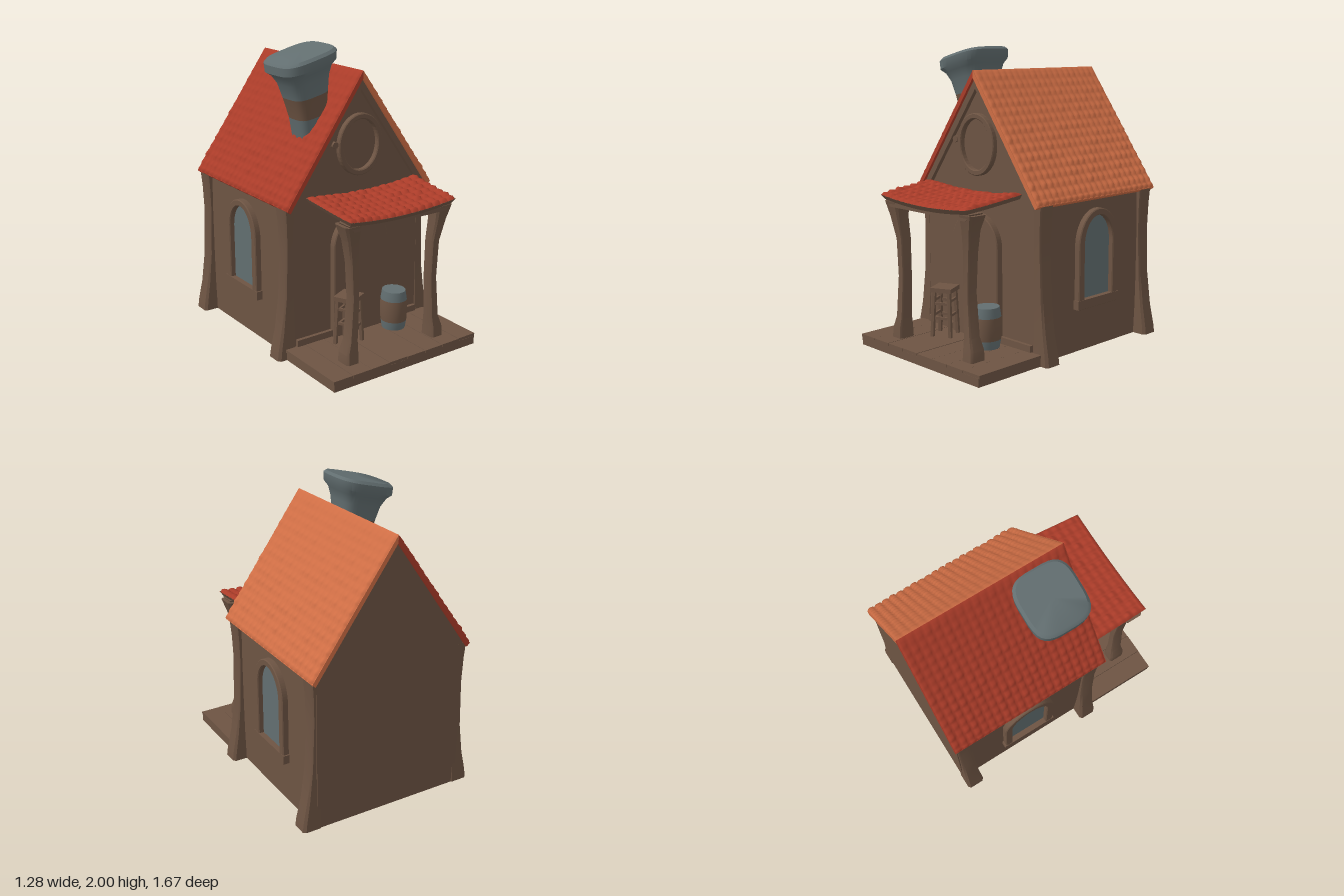
import * as THREE from 'three';
import { toCreasedNormals } from 'three/addons/utils/BufferGeometryUtils.js';

const material = (name, color) => Object.assign(new THREE.MeshStandardMaterial({ color }), { name });
const hash = (i, j) => { const s = Math.sin(i * 12.99 + j * 78.23) * 43758.5; return s - Math.floor(s); };

// Closed skin through superellipse rings [cx, y, cz, halfX, halfZ, tilt]; one group per segment
function loft(rings, sides, power, bands) {
  const pos = [], idx = [], geo = new THREE.BufferGeometry();
  for (const [cx, y, cz, hx, hz, tilt = 0] of rings) {
    for (let k = 0; k < sides; k++) {
      const a = (k + 0.5) / sides * Math.PI * 2, c = Math.cos(a), s = Math.sin(a);
      const dx = hx * Math.sign(c) * Math.abs(c) ** (2 / power);
      const dz = hz * Math.sign(s) * Math.abs(s) ** (2 / power);
      pos.push(cx + dx, y + dx * tilt, cz + dz);
    }
  }
  const last = rings.length - 1, bottom = pos.length / 3, top = bottom + 1;
  pos.push(...rings[0].slice(0, 3), ...rings[last].slice(0, 3));
  for (let r = 0; r < last; r++) {
    const start = idx.length;
    for (let k = 0; k < sides; k++) {
      const b = r * sides + k, b2 = r * sides + (k + 1) % sides, t = b + sides, t2 = b2 + sides;
      idx.push(b2, b, t, b2, t, t2);
      if (r === 0) idx.push(bottom, b, b2);
      if (r === last - 1) idx.push(top, t2, t);
    }
    if (bands) geo.addGroup(start, idx.length - start, bands[r]);
  }
  geo.setAttribute('position', new THREE.Float32BufferAttribute(pos, 3));
  geo.setIndex(idx);
  return toCreasedNormals(geo, 0.7);
}

// Bumpy sheet of overlapping tiles; place(u, v, h) puts a point on the roof
function tileSheet(cols, rows, amp, place) {
  const geo = new THREE.PlaneGeometry(1, 1, cols * 5, rows * 4), p = geo.attributes.position;
  for (let n = 0; n < p.count; n++) {
    const u = p.getX(n) + 0.5, v = p.getY(n) + 0.5;
    const cu = u * cols + 1e-4, cv = v * rows + 1e-4, i = Math.floor(cu), j = Math.floor(cv);
    const edge = u < 1e-4 || u > 0.9999 || v < 1e-4 || v > 0.9999;
    const round = Math.sqrt(Math.abs(Math.sin((cu - i) * Math.PI)));
    const h = edge ? -0.006 : amp(v) * (0.6 + 0.4 * hash(i, j)) * (0.15 + 0.85 * round) * (1 - 0.75 * (cv - j));
    p.setXYZ(n, ...place(u, v, h));
  }
  geo.computeVertexNormals();
  return geo;
}

function arch(half, base, spring, top, Type = THREE.Shape) {
  const s = new Type();
  s.moveTo(-half, base);
  s.lineTo(half, base);
  s.lineTo(half, spring);
  s.absellipse(0, spring, half, top - spring, 0, Math.PI, false);
  s.closePath();
  return s;
}

const extrude = (shape, depth, bevel = 0) => new THREE.ExtrudeGeometry(shape, {
  depth, curveSegments: 20, bevelEnabled: bevel > 0, bevelSize: bevel, bevelThickness: bevel, bevelOffset: -bevel, bevelSegments: 1,
});

const polygon = (pts) => new THREE.Shape(pts.map(([x, y]) => new THREE.Vector2(x, y)));

export function createModel() {
  const model = new THREE.Group();
  model.name = 'cottage';
  const wood = material('brown wood', 0x6d5443);
  const red = material('red tile', 0xab3c29);
  const orange = material('orange tile', 0xcf6e45);
  const grey = material('blue grey', 0x626e70);

  const add = (name, geo, mat, x = 0, y = 0, z = 0, parent = model) => {
    const m = new THREE.Mesh(geo, mat);
    m.name = name;
    m.position.set(x, y, z);
    parent.add(m);
    return m;
  };
  const box = (name, w, h, d, x, y, z, parent) => add(name, new THREE.BoxGeometry(w, h, d), wood, x, y, z, parent);

  // House body with gables
  add('walls', extrude(polygon([[-0.54, 0], [0.54, 0], [0.54, 1.035], [0, 1.815], [-0.54, 1.035]]), 1.1), wood, 0, 0, -0.81);

  for (const s of [1, -1]) {
    const side = s > 0 ? 'left' : 'right';

    // Flared corner posts
    for (const [end, z] of [['Front', 0.24], ['Back', -0.752]]) {
      const rings = [[0, 0.64, 0.066], [0.06, 0.632, 0.064], [0.2, 0.603, 0.056], [0.42, 0.575, 0.052], [0.75, 0.562, 0.052], [0.92, 0.568, 0.056], [1.03, 0.578, 0.06]]
        .map(([y, out, hz]) => [s * (out + 0.5) / 2, y, z, (out - 0.5) / 2 * 1.03, hz]);
      add(side + end + 'CornerPost', loft(rings, 8, 6), wood);
    }

    // Roof slope: slab with tiles on top
    const mat = s > 0 ? orange : red;
    add(side + 'RoofSlab', extrude(polygon([[0, 1.85], [s * 0.583, 1.028], [s * 0.56, 1.008], [0, 1.8]]), 1.17), mat, 0, 0, -0.83);
    add(side + 'RoofTiles', tileSheet(21, 15, (v) => 0.022 - 0.013 * v, (u, v, h) => [
      s * (0.585 * (1 - v) + 0.816 * h * (v < 0.999 ? 1 : 0)),
      1.026 + 0.828 * v + 0.578 * h,
      0.34 - 1.17 * (s > 0 ? u : 1 - u),
    ]), mat);

    // Gable trim boards
    add(side + 'GableTrim', extrude(polygon([[0, 1.8], [s * 0.56, 1.01], [s * 0.51, 1.01], [0, 1.73]]), 0.03), wood, 0, 0, 0.29);

    // Arched side window
    const window = new THREE.Group();
    window.name = side + 'Window';
    window.position.set(s * 0.54, 0, -0.255);
    window.rotation.y = s * Math.PI / 2;
    model.add(window);
    const frame = arch(0.195, 0.29, 0.72, 0.95);
    frame.holes.push(arch(0.14, 0.355, 0.72, 0.905, THREE.Path));
    add('windowFrame', extrude(frame, 0.036, 0.006), wood, 0, 0, 0, window);
    add('windowPane', extrude(arch(0.145, 0.35, 0.72, 0.91), 0.006), grey, 0, 0, 0, window);
    box('windowSill', 0.41, 0.06, 0.045, 0, 0.325, 0.022, window);

    // Porch posts, narrow in the middle
    const porchRings = [[0.06, 0.35, 0.05, 0.062], [0.14, 0.35, 0.048, 0.058], [0.22, 0.335, 0.034, 0.045], [0.5, 0.318, 0.028, 0.04],
      [0.75, 0.328, 0.032, 0.042], [0.9, 0.35, 0.045, 0.05], [1.0, 0.365, 0.065, 0.07]]
      .map(([y, x, hx, hz]) => [s * x, y, y > 0.8 ? 0.68 : 0.665, hx, hz]);
    add(side + 'PorchPost', loft(porchRings, 8, 6), wood);

    // Skirting beside the door
    box(side + 'Skirting', 0.28, 0.05, 0.03, s * 0.36, 0.093, 0.3);
  }

  // Porch floor with planks
  box('porchBase', 1.16, 0.055, 0.53, 0, 0.0275, 0.57);
  for (let i = 0; i < 8; i++) {
    box('porchPlank', 0.144, 0.02, 0.545 - 0.012 * hash(i, 3), -0.513 + i * 0.1465, 0.062 + 0.004 * hash(i, 1), 0.566);
  }

  // Porch roof, sagging gently towards its middle
  const porchY = (x, z) => 1.02 + 0.03 * x * x / 0.19 + 0.045 * ((0.77 - z) / 0.44) ** 1.2;
  const onPorch = (u, v, h) => {
    const z = 0.775 - 0.445 * v, x = (u - 0.5) * (0.84 + 0.04 * v);
    return [x, porchY(x, Math.min(z, 0.77)) + h, z];
  };
  add('porchRoofTiles', tileSheet(14, 7, () => 0.03, onPorch), red);
  const under = new THREE.BoxGeometry(1, 1, 1, 12, 1, 8), q = under.attributes.position;
  for (let n = 0; n < q.count; n++) {
    const [x, y, z] = onPorch(q.getX(n) + 0.5, 0.5 - q.getZ(n), 0);
    const low = q.getY(n) < 0;
    q.setXYZ(n, low ? x * 0.96 : x, y - (low ? 0.035 : 0.005), low ? Math.min(z, 0.755) : z);
  }
  under.computeVertexNormals();
  add('porchRoofBoards', under, wood);
  add('porchBeam', extrude(polygon([[-0.41, 1.01], [-0.37, 0.965], [0.37, 0.965], [0.41, 1.01]]), 0.11), wood, 0, 0, 0.635);

  // Arched door
  const doorFrame = arch(0.22, 0.06, 0.7, 0.92);
  doorFrame.holes.push(arch(0.145, 0.06, 0.7, 0.85, THREE.Path));
  add('doorFrame', extrude(doorFrame, 0.045, 0.006), wood, 0, 0, 0.285);
  add('door', extrude(arch(0.147, 0.06, 0.7, 0.852), 0.008), wood, 0, 0, 0.288);

  // Round gable window and peg
  const ring = new THREE.Shape().absellipse(0, 0, 0.175, 0.205, 0, Math.PI * 2, false);
  ring.holes.push(new THREE.Path().absellipse(0, 0, 0.138, 0.168, 0, Math.PI * 2, true));
  add('roundWindowFrame', extrude(ring, 0.035, 0.006), wood, 0, 1.368, 0.285);
  add('gablePeg', new THREE.CylinderGeometry(0.022, 0.022, 0.04, 12).rotateX(Math.PI / 2), wood, -0.2, 1.39, 0.3);

  // Leaning chimney with flared rim
  add('chimney', loft([
    [-0.2, 1.28, 0.06, 0.1, 0.09, 0.1], [-0.235, 1.55, 0.06, 0.105, 0.11, 0.2], [-0.256, 1.69, 0.06, 0.125, 0.13, 0.22],
    [-0.272, 1.79, 0.06, 0.142, 0.148, 0.24], [-0.285, 1.85, 0.06, 0.168, 0.17, 0.25], [-0.29, 1.88, 0.06, 0.198, 0.196, 0.25],
    [-0.292, 1.935, 0.06, 0.202, 0.2, 0.25], [-0.292, 1.954, 0.06, 0.185, 0.182, 0.25],
  ], 32, 3.6, [0, 1, 0, 0, 0, 0, 0]), [grey, wood]);

  // Barrel
  add('barrel', loft([
    [0.215, 0.07, 0.42, 0.077, 0.082], [0.215, 0.13, 0.42, 0.086, 0.093], [0.215, 0.21, 0.42, 0.09, 0.098],
    [0.215, 0.28, 0.42, 0.087, 0.094], [0.215, 0.345, 0.42, 0.077, 0.084],
  ], 20, 2, [0, 1, 1, 0]), [grey, wood]);

  // Stool
  const stool = new THREE.Group();
  stool.name = 'stool';
  stool.position.set(-0.18, 0, 0.44);
  stool.rotation.y = 0.45;
  model.add(stool);
  box('stoolSeat', 0.15, 0.03, 0.15, 0, 0.393, 0, stool);
  for (let i = 0; i < 4; i++) {
    const sx = i % 2 ? 1 : -1, sz = i < 2 ? 1 : -1;
    add('stoolLeg', loft([[sx * 0.065, 0.07, sz * 0.065, 0.013, 0.013], [sx * 0.053, 0.385, sz * 0.053, 0.013, 0.013]], 8, 6), wood, 0, 0, 0, stool);
    const y = i < 2 ? 0.2 : 0.3;
    box('stoolRung', 0.12, 0.018, 0.014, 0, y, sx * 0.058, stool);
    box('stoolRung', 0.014, 0.018, 0.12, sx * 0.058, y + 0.02, 0, stool);
  }
  return model;
}
